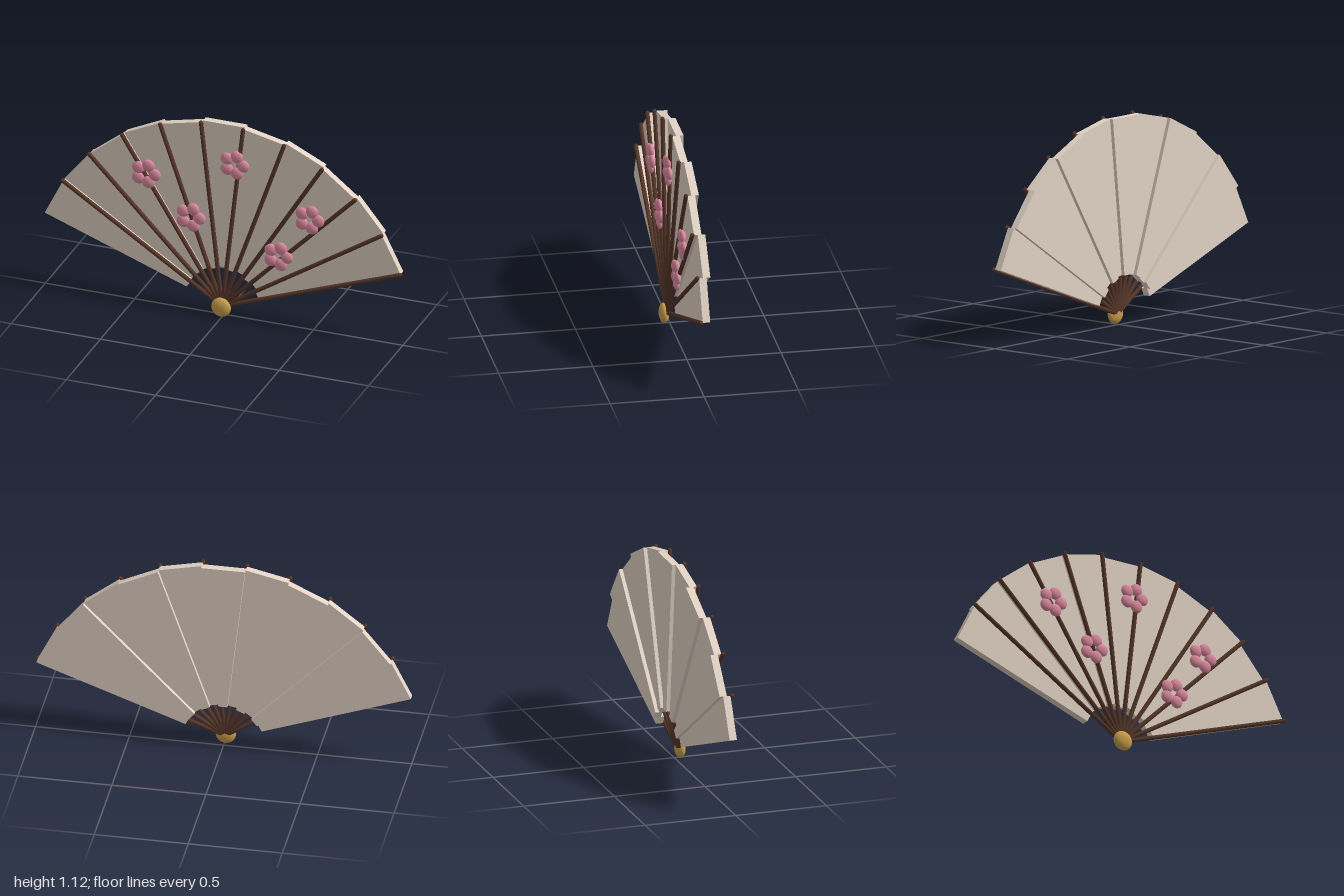
import * as THREE from 'three';

const PIVOT = { x: -0.006, y: 0.056 };
const PANELS = 11;
const START = THREE.MathUtils.degToRad(20);
const STEP = THREE.MathUtils.degToRad(140) / PANELS;
const INNER = 0.215, OUTER = 1.059;

const paint = (color) => new THREE.MeshStandardMaterial({ color });
const polar = (r, a) => new THREE.Vector2(r * Math.cos(a), r * Math.sin(a));

export function createModel() {
  const group = new THREE.Group();
  const paper = paint(0xe2d3c5), wood = paint(0x553528), pink = paint(0xdb8a9f), brass = paint(0xc9a04c);

  // Everything that fans out turns about the pivot
  const fan = new THREE.Group();
  fan.name = 'fan';
  fan.position.set(PIVOT.x, PIVOT.y, 0);
  group.add(fan);

  // Straight-edged leaf panels, alternately set forward and back as pleats
  const thickness = 0.04;
  for (let i = 0; i < PANELS; i++) {
    const a = START + i * STEP, b = a + STEP;
    const shape = new THREE.Shape([polar(INNER, a), polar(OUTER, a), polar(OUTER, b), polar(INNER, b)]);
    const geometry = new THREE.ExtrudeGeometry(shape, { depth: thickness, bevelEnabled: false });
    const panel = new THREE.Mesh(geometry, paper);
    panel.name = `leafPanel${i + 1}`;
    panel.position.z = i % 2 ? -0.054 : -0.034;
    fan.add(panel);
  }

  // Round-ended ribs, one along the lower edge of each panel
  const ribGeometry = new THREE.CapsuleGeometry(0.0115, OUTER, 6, 12);
  ribGeometry.rotateZ(-Math.PI / 2).translate(OUTER / 2, 0, 0);
  for (let i = 0; i < PANELS; i++) {
    const rib = new THREE.Mesh(ribGeometry, wood);
    rib.name = `rib${i + 1}`;
    rib.rotation.z = START + i * STEP;
    rib.position.z = 0.0145;
    fan.add(rib);
  }

  // Flattened rivet at the pivot
  const rivet = new THREE.Mesh(new THREE.SphereGeometry(0.054, 32, 20), brass);
  rivet.name = 'pivotRivet';
  rivet.scale.z = 0.5;
  rivet.position.z = 0.029;
  fan.add(rivet);

  // Five-petal blossoms on the front
  const petalGeometry = new THREE.SphereGeometry(0.035, 20, 14);
  petalGeometry.scale(1, 1, 0.5);
  const spots = [[-0.43, 0.76], [-0.18, 0.55], [0.065, 0.9], [0.485, 0.655], [0.31, 0.41]];
  spots.forEach(([x, y], n) => {
    const blossom = new THREE.Group();
    blossom.name = `blossom${n + 1}`;
    blossom.position.set(x, y, 0.023);
    for (let k = 0; k < 5; k++) {
      const petal = new THREE.Mesh(petalGeometry, pink);
      petal.name = 'petal';
      const p = polar(0.05, (k * 2 * Math.PI) / 5);
      petal.position.set(p.x, p.y, 0);
      blossom.add(petal);
    }
    group.add(blossom);
  });

  return group;
}
